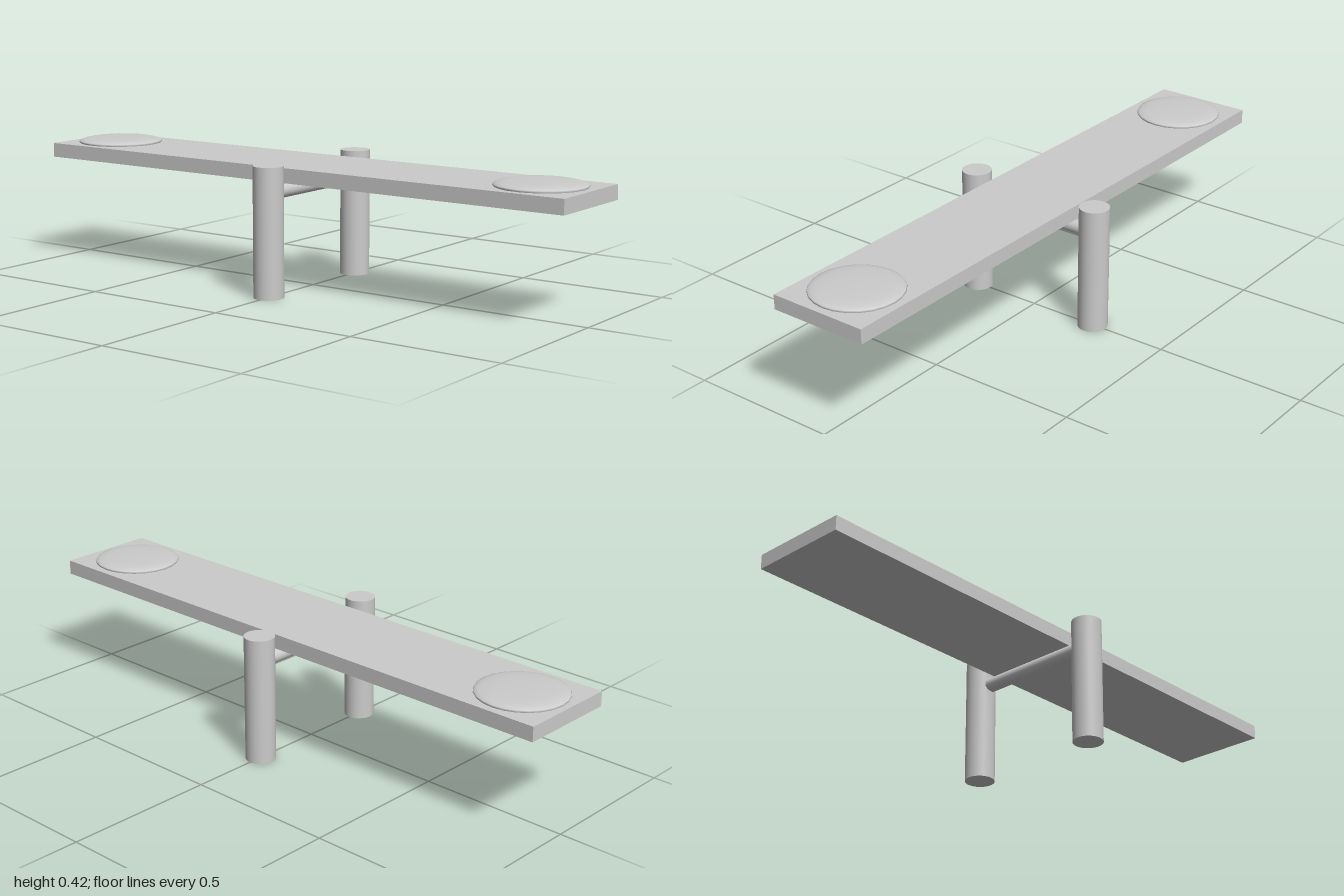
import * as THREE from 'three';

const material = new THREE.MeshStandardMaterial({ color: 0xcccccc });

function addPart(group, name, geometry, x, y, z) {
  const mesh = new THREE.Mesh(geometry, material);
  mesh.name = name;
  mesh.position.set(x, y, z);
  group.add(mesh);
  return mesh;
}

export function createModel() {
  const group = new THREE.Group();
  group.name = 'seesaw';

  // Two upright posts, mirrored left and right
  const postHeight = 0.42;
  const post = new THREE.CylinderGeometry(0.049, 0.049, postHeight, 32);
  for (const side of [1, -1]) {
    addPart(group, side > 0 ? 'leftPost' : 'rightPost', post, side * 0.236, postHeight / 2, 0);
  }

  // Axle running between the posts
  const axle = new THREE.CylinderGeometry(0.0235, 0.0235, 0.44, 24);
  axle.rotateZ(Math.PI / 2);
  addPart(group, 'axle', axle, 0, 0.3335, 0);

  // Long plank resting on the axle
  addPart(group, 'plank', new THREE.BoxGeometry(0.334, 0.048, 2), 0, 0.381, 0);

  // Low domed seat pads at both ends of the plank
  const profile = [
    [0.14, -0.004], [0.144, 0.003], [0.142, 0.007], [0.132, 0.011],
    [0.115, 0.0145], [0.085, 0.0165], [0.045, 0.0178], [0, 0.018],
  ].map(([r, y]) => new THREE.Vector2(r, y));
  const seat = new THREE.LatheGeometry(profile, 24);
  addPart(group, 'frontSeat', seat, 0, 0.405, 0.833);
  addPart(group, 'backSeat', seat, 0, 0.405, -0.837);

  return group;
}
